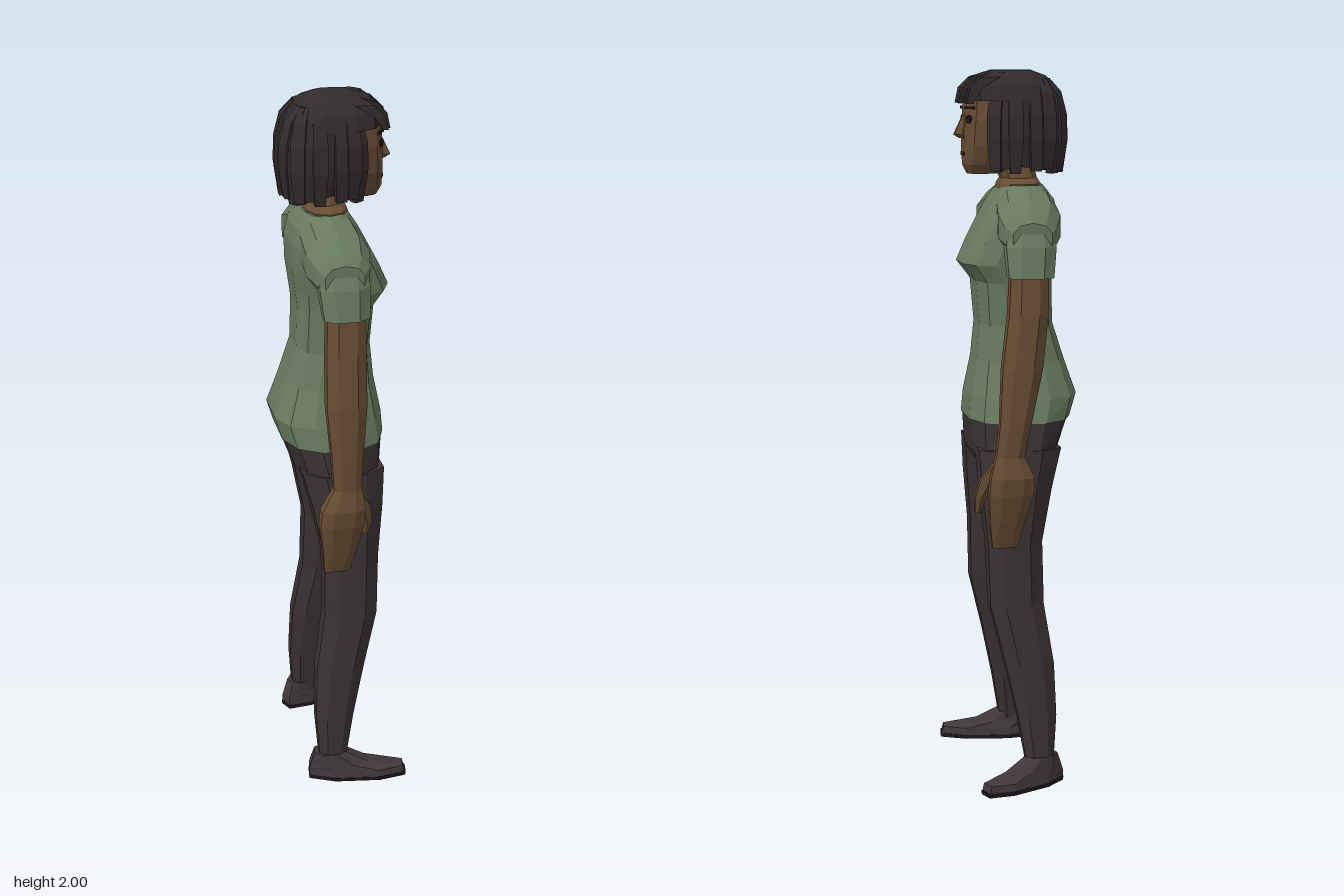
import * as THREE from 'three';

const mat = (name, color) => {
  const m = new THREE.MeshStandardMaterial({ color });
  m.name = name;
  return m;
};

// Faceted solid through horizontal rings, listed bottom to top: [y, xBack, xFront, zCentre, zRadius].
// p is the squareness of the rings: 2 is an ellipse, large values approach a box.
function loft(sections, sides = 8, p = 2.4) {
  const power = v => Math.sign(v) * Math.pow(Math.abs(v), 2 / p);
  const rings = sections.map(([y, x0, x1, zc, rz]) =>
    Array.from({ length: sides }, (_, i) => {
      const a = ((i + 0.5) / sides) * Math.PI * 2;
      return [(x0 + x1) / 2 + ((x1 - x0) / 2) * power(Math.cos(a)), y, zc + rz * power(Math.sin(a))];
    }));
  const pos = [];
  const tri = (...corners) => corners.forEach(c => pos.push(...c));
  const top = rings.length - 1;
  for (let i = 0; i < sides; i++) {
    const k = (i + 1) % sides;
    for (let j = 0; j < top; j++) {
      tri(rings[j][i], rings[j + 1][i], rings[j][k]);
      tri(rings[j][k], rings[j + 1][i], rings[j + 1][k]);
    }
    if (i > 0 && i < sides - 1) {
      tri(rings[0][0], rings[0][i], rings[0][k]);
      tri(rings[top][0], rings[top][k], rings[top][i]);
    }
  }
  const g = new THREE.BufferGeometry();
  g.setAttribute('position', new THREE.Float32BufferAttribute(pos, 3));
  g.computeVertexNormals();
  return g;
}

export function createModel() {
  const model = new THREE.Group();
  const skin = mat('skin', 0x674d34);
  const shirt = mat('shirt green', 0x687a5f);
  const trousers = mat('trouser charcoal', 0x3a3233);
  const hair = mat('hair black', 0x322b2c);
  const shoe = mat('shoe grey', 0x40373a);
  const sole = mat('sole black', 0x1c191a);
  const dark = mat('eye and brow black', 0x1e1816);
  const lips = mat('lip brown', 0x452c22);

  const add = (name, geometry, material, parent = model) => {
    const m = new THREE.Mesh(geometry, material);
    m.name = name;
    parent.add(m);
    return m;
  };

  // Torso: the figure looks along +x
  add('shirtBody', loft([
    [1.035, -0.155, 0.14, 0, 0.19], [1.1, -0.175, 0.135, 0, 0.175],
    [1.2, -0.14, 0.115, 0, 0.142], [1.3, -0.108, 0.105, 0, 0.13],
    [1.42, -0.105, 0.115, 0, 0.14], [1.47, -0.112, 0.154, 0, 0.148],
    [1.53, -0.12, 0.127, 0, 0.156], [1.6, -0.12, 0.09, 0, 0.165],
    [1.645, -0.11, 0.066, 0, 0.15], [1.672, -0.09, 0.046, 0, 0.12],
    [1.685, -0.08, 0.035, 0, 0.098],
  ], 12, 2.7), shirt);

  // Sloping shoulders: rings run across the body, [z, xBack, xFront, -yCentre, yRadius]
  const slope = [
    [0.244, -0.066, 0.045, -1.55, 0.045], [0.22, -0.085, 0.065, -1.56, 0.062],
    [0.17, -0.105, 0.075, -1.58, 0.082], [0.1, -0.105, 0.065, -1.605, 0.08],
  ];
  add('shoulders', loft([
    ...slope.map(([z, ...rest]) => [-z, ...rest]), ...slope.reverse(),
  ], 10, 2.4).rotateX(Math.PI / 2), shirt);

  add('neck', loft([
    [1.65, -0.08, 0.052, 0, 0.1], [1.688, -0.076, 0.042, 0, 0.094],
    [1.703, -0.068, 0.035, 0, 0.062], [1.73, -0.06, 0.045, 0, 0.053], [1.78, -0.06, 0.06, 0, 0.053],
  ], 10), skin);

  // Hips
  add('hips', loft([
    [0.915, -0.09, 0.115, 0, 0.16], [0.945, -0.118, 0.13, 0, 0.198],
    [1.045, -0.152, 0.137, 0, 0.187],
  ], 12, 2.7), trousers);

  for (const s of [1, -1]) {
    const side = s > 0 ? 'right' : 'left';
    const place = rows => rows.map(([y, a, b, z, r]) => [y, a, b, s * z, r]);

    // Leg
    add(side + 'Leg', loft(place([
      [0.05, -0.078, 0.0, 0.21, 0.034], [0.2, -0.09, 0.027, 0.197, 0.04],
      [0.35, -0.086, 0.06, 0.181, 0.05], [0.52, -0.06, 0.102, 0.162, 0.056],
      [0.7, -0.057, 0.107, 0.146, 0.069], [0.85, -0.088, 0.122, 0.13, 0.081],
      [0.96, -0.118, 0.13, 0.115, 0.085],
    ])), trousers);

    // Shoe, turned outwards about the ankle
    const foot = new THREE.Group();
    foot.name = side + 'Shoe';
    foot.position.set(-0.042, 0, s * 0.21);
    foot.rotation.y = s > 0 ? -0.15 : 0.43;
    model.add(foot);
    const toe = s > 0 ? 0.228 : 0.198;
    add('sole', loft([[0, -0.074, toe, 0, 0.046], [0.012, -0.076, toe + 0.002, 0, 0.048]], 8, 2.3), sole, foot);
    add('shoeUpper', loft([
      [0.012, -0.074, toe - 0.002, 0, 0.047], [0.032, -0.074, toe - 0.007, 0, 0.044],
      [0.05, -0.066, 0.115, 0, 0.04], [0.085, -0.052, 0.045, 0, 0.035],
    ], 8, 2.3), shoe, foot);

    // Sleeve
    add(side + 'Sleeve', loft(place([
      [1.447, -0.072, 0.06, 0.233, 0.042], [1.53, -0.082, 0.065, 0.212, 0.052],
      [1.6, -0.075, 0.055, 0.185, 0.045],
    ])), shirt);

    // Arm and hand: the left one swings forwards and slightly inwards
    const swing = rows => place(rows).map(([y, a, b, z, r]) => {
      const d = s > 0 ? 0 : Math.max(0, 1.42 - y) * 0.13;
      return [y, a + d, b + d, z + d * 0.28, r];
    });
    add(side + 'Arm', loft(swing([
      [0.94, -0.048, 0.034, 0.26, 0.026], [1.05, -0.055, 0.037, 0.261, 0.03],
      [1.2, -0.068, 0.05, 0.25, 0.039], [1.35, -0.066, 0.05, 0.234, 0.041],
      [1.5, -0.06, 0.05, 0.222, 0.036],
    ])), skin);
    add(side + 'Hand', loft(swing([
      [0.695, -0.07, 0.005, 0.24, 0.01], [0.77, -0.078, 0.025, 0.251, 0.023],
      [0.85, -0.09, 0.042, 0.265, 0.03], [0.9, -0.085, 0.045, 0.267, 0.034],
      [0.96, -0.048, 0.035, 0.26, 0.026],
    ])), skin);
    add(side + 'Thumb', loft(swing([
      [0.795, 0.045, 0.062, 0.222, 0.01], [0.84, 0.035, 0.072, 0.229, 0.016],
      [0.89, 0.012, 0.065, 0.238, 0.019], [0.94, -0.01, 0.035, 0.252, 0.016],
    ]), 6), skin);

    // Eye and brow, lying on the angled cheek planes
    const eye = add(side + 'Eye', new THREE.CylinderGeometry(0.012, 0.012, 0.008, 8).rotateZ(Math.PI / 2).toNonIndexed(), dark);
    eye.geometry.computeVertexNormals();
    eye.position.set(0.129, 1.865, s * 0.046);
    eye.rotation.y = -s * 0.56;
    const brow = add(side + 'Brow', new THREE.BoxGeometry(0.008, 0.007, 0.04), dark);
    brow.position.set(0.127, 1.896, s * 0.048);
    brow.rotation.y = -s * 0.56;
  }

  // Head
  add('head', loft([
    [1.715, 0.03, 0.128, 0, 0.032], [1.74, -0.02, 0.14, 0, 0.055],
    [1.79, -0.06, 0.142, 0, 0.08], [1.86, -0.08, 0.14, 0, 0.092],
    [1.92, -0.09, 0.136, 0, 0.09], [1.96, -0.07, 0.1, 0, 0.07],
  ], 12, 2.6), skin);
  add('nose', loft([
    [1.812, 0.12, 0.15, 0, 0.014], [1.822, 0.12, 0.167, 0, 0.016],
    [1.875, 0.12, 0.141, 0, 0.007],
  ], 6), skin);
  add('mouth', new THREE.BoxGeometry(0.008, 0.01, 0.05), lips).position.set(0.137, 1.77, 0);

  // Bobbed hair: crown, inner shell, hanging locks and fringe
  add('hairCrown', loft([
    [1.915, -0.132, 0.133, 0, 0.11], [1.955, -0.118, 0.13, 0, 0.1],
    [1.983, -0.09, 0.108, 0, 0.078], [1.998, -0.05, 0.06, 0, 0.05],
  ], 12, 2.8), hair);
  add('hairShell', loft([
    [1.735, -0.12, 0.02, 0, 0.09], [1.82, -0.135, 0.055, 0, 0.108],
    [1.92, -0.13, 0.09, 0, 0.108],
  ], 12, 2.8), hair);
  const locks = 18;
  const pw = (v, e) => Math.sign(v) * Math.pow(Math.abs(v), e);
  for (let i = 0; i < locks; i++) {
    const a = THREE.MathUtils.degToRad(52 + (256 * i) / (locks - 1));
    const c = Math.cos(a), n = Math.sin(a);
    const end = 1.718 + 0.006 * ((i * 2) % 3);
    const out = (i % 2) * 0.004;
    const lock = add('hairLock' + (i + 1), loft([
      [end, -0.022, -0.002 + out, 0, 0.015], [1.81, -0.012, 0.011 + out, 0, 0.021],
      [1.88, -0.014, 0.008 + out, 0, 0.021], [1.94, -0.035, -0.008 + out, 0, 0.019],
      [1.976, -0.06, -0.037, 0, 0.013],
    ], 4, 20), hair);
    lock.position.set(-0.02 + 0.115 * pw(c, 2 / 3), 0, 0.108 * pw(n, 2 / 3));
    lock.rotation.y = -Math.atan2(pw(n, 4 / 3) / 0.108, pw(c, 4 / 3) / 0.115);
  }
  for (let i = 0; i < 6; i++) {
    const z = (i - 2.5) * 0.031;
    const back = z * z * 2;
    const step = (i % 2) * 0.004;
    add('fringe' + (i + 1), loft([
      [1.908 + step, 0.136 - back, 0.156 - back - step, z, 0.014],
      [1.95, 0.11 - back, 0.147 - back - step, z, 0.0165],
      [1.98, 0.06 - back, 0.116 - back - step, z * 0.95, 0.0155],
      [1.992, 0.03, 0.07, z * 0.7, 0.012],
    ], 4, 20), hair);
  }
  return model;
}
